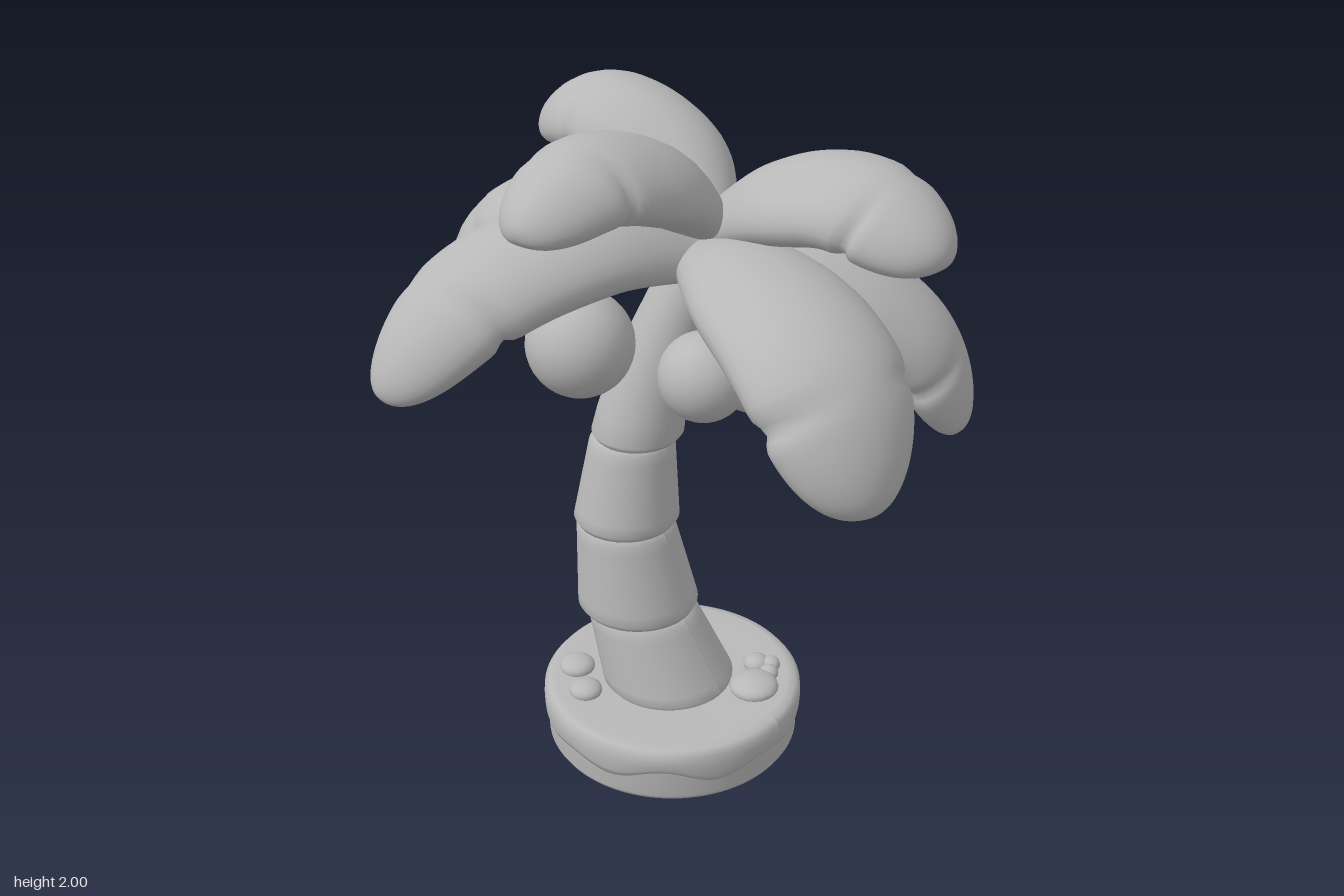
import * as THREE from 'three';

const V = (p) => new THREE.Vector3(...p);

// Puffy leaf: a cushion-shaped section swept along a drooping curve, pinched before the blunt tip
function leafGeometry(points, width, thick, roll = 0) {
  const curve = new THREE.CatmullRomCurve3(points.map(V));
  const rows = 48, cols = 32, pos = [], idx = [];
  const up = new THREE.Vector3(0, 1, 0);
  for (let i = 0; i <= rows; i++) {
    const t = 1 - Math.pow(1 - i / rows, 1.9);
    const c = curve.getPointAt(t), T = curve.getTangentAt(t);
    const S = new THREE.Vector3().crossVectors(T, up).normalize().applyAxisAngle(T, -roll);
    const N = new THREE.Vector3().crossVectors(S, T);
    const f = t < 0.5
      ? 0.44 + 0.56 * Math.sin((t / 0.5) * Math.PI / 2)
      : Math.pow(Math.max(0, 1 - ((t - 0.5) / 0.5) ** 2.5), 1 / 2.1);
    for (let j = 0; j < cols; j++) {
      const a = (j / cols) * Math.PI * 2, ca = Math.cos(a), sa = Math.sin(a);
      const pinch = Math.exp(-(((t - 0.73 - 0.04 * ca) / 0.025) ** 2));
      const w = width * f * (1 - 0.1 * pinch) * ca;
      const h = thick * f * (sa > 0 ? sa : sa * (1 - 0.2 * pinch));
      const p = c.clone().addScaledVector(S, w).addScaledVector(N, h - 0.035 * f * ca * ca);
      pos.push(p.x, p.y, p.z);
      if (i < rows) {
        const k = i * cols + j, n = i * cols + ((j + 1) % cols);
        idx.push(k, k + cols, n, n, k + cols, n + cols);
      }
    }
  }
  const g = new THREE.BufferGeometry();
  g.setAttribute('position', new THREE.Float32BufferAttribute(pos, 3));
  g.setIndex(idx);
  g.computeVertexNormals();
  return g;
}

// Trunk segment: rounded tapered lathe whose rings slide from one centre to the next
function trunkGeometry(y0, y1, c0, c1, r0, r1, bend) {
  const e = 0.025, h = y1 - y0;
  const profile = [[r0 - 0.04, 0], [r0 - 0.012, 0.006], [r0, e]];
  for (let i = 1; i < 8; i++) profile.push([r0 + (r1 - r0) * i / 8, e + (h - 2 * e) * i / 8]);
  profile.push([r1, h - e], [r1 - 0.012, h - 0.006], [r1 - 0.04, h], [0, h]);
  const g = new THREE.LatheGeometry(profile.map((p) => new THREE.Vector2(...p)), 40);
  const p = g.attributes.position;
  for (let i = 0; i < p.count; i++) {
    const k = Math.pow(Math.max(0, p.getY(i) / h), bend);
    p.setXYZ(i, p.getX(i) + c0[0] + (c1[0] - c0[0]) * k, p.getY(i) + y0,
      p.getZ(i) + c0[1] + (c1[1] - c0[1]) * k);
  }
  g.computeVertexNormals();
  return g;
}

export function createModel() {
  const group = new THREE.Group();
  const grey = new THREE.MeshStandardMaterial({ color: 0xb8b8b8 });
  grey.name = 'grey';
  const add = (name, geometry, at = [0, 0, 0]) => {
    const m = new THREE.Mesh(geometry, grey);
    m.name = name;
    m.position.set(...at);
    group.add(m);
    return m;
  };
  const lathe = (pts) => new THREE.LatheGeometry(pts.map((p) => new THREE.Vector2(...p)), 96);

  // Round base
  const centre = [-0.048, 0, -0.015];
  add('base', lathe([[0, 0.005], [0.35, 0.005], [0.373, 0.012], [0.384, 0.03], [0.386, 0.15]]), centre);

  // Sand layer with a wavy lower edge
  const sand = lathe([[0.375, 0.093], [0.388, 0.097], [0.395, 0.115], [0.396, 0.145],
    [0.394, 0.175], [0.38, 0.192], [0.355, 0.197], [0.3, 0.193], [0, 0.193]]);
  const sp = sand.attributes.position;
  for (let i = 0; i < sp.count; i++) {
    const a = Math.atan2(sp.getZ(i), sp.getX(i)), y = sp.getY(i);
    const k = Math.max(0, (0.175 - y) / 0.08);
    sp.setY(i, y + k * (0.013 * Math.sin(8 * a) + 0.01 * Math.sin(5 * a + 1)));
  }
  sand.computeVertexNormals();
  add('sand', sand, centre);

  // Leaning trunk: bottom y, top y, bottom centre, top centre, radii, bend
  [
    [0.18, 0.445, [-0.05, -0.02], [-0.078, -0.115], 0.2, 0.165, 1],
    [0.43, 0.735, [-0.075, -0.12], [-0.093, -0.155], 0.182, 0.147, 1],
    [0.72, 1.015, [-0.09, -0.152], [-0.073, -0.135], 0.156, 0.125, 1],
    [1.0, 1.6, [-0.066, -0.125], [0.07, 0.03], 0.134, 0.09, 1.4],
  ].forEach((s, i) => add('trunkSegment' + (i + 1), trunkGeometry(...s)));

  // Crown bud where the leaves meet
  add('crown', new THREE.SphereGeometry(0.085, 24, 16), [0.07, 1.57, 0.03]);

  // Leaves: centre line, half width, half thickness, roll
  const low = [0.08, 1.55, 0.03], high = [0.08, 1.635, 0.03];
  const leaves = {
    leafBack: [[low, [0.04, 1.61, -0.3], [0.01, 1.53, -0.6], [0.02, 1.28, -0.83]], 0.2, 0.12],
    leafBackLeft: [[low, [0.34, 1.49, -0.15], [0.62, 1.31, -0.32], [0.765, 1.03, -0.41]], 0.215, 0.12],
    leafFrontLeft: [[low, [0.27, 1.5, 0.22], [0.46, 1.3, 0.45], [0.55, 0.99, 0.59]], 0.215, 0.12],
    leafFrontRight: [[low, [-0.08, 1.575, 0.32], [-0.26, 1.48, 0.63], [-0.37, 1.2, 0.81]], 0.255, 0.125, 0.25],
    leafBackRight: [[low, [-0.25, 1.645, -0.14], [-0.55, 1.57, -0.28], [-0.8, 1.34, -0.38]], 0.21, 0.12],
    leafTopRight: [[high, [-0.19, 1.83, 0.02], [-0.43, 1.895, 0], [-0.67, 1.82, 0]], 0.18, 0.11],
    leafTopFront: [[high, [0.09, 1.76, 0.27], [0.09, 1.8, 0.5], [0.04, 1.7, 0.75]], 0.205, 0.11],
    leafTopBack: [[high, [0.17, 1.79, -0.18], [0.18, 1.855, -0.4], [0.19, 1.78, -0.63]], 0.19, 0.11],
  };
  for (const name in leaves) add(name, leafGeometry(...leaves[name]));

  // Coconuts
  [[0.13, 1.21, 0.14, 0.123], [-0.08, 1.265, 0.12, 0.127], [0.19, 1.27, -0.08, 0.125],
    [-0.31, 1.385, -0.12, 0.148]].forEach(([x, y, z, r], i) =>
    add('coconut' + (i + 1), new THREE.SphereGeometry(r, 32, 20), [x, y, z]));

  // Flattened pebbles
  [[0.04, 0.23, 0.075], [0.14, 0.17, 0.04], [0.16, 0.21, 0.03], [0.12, 0.23, 0.03],
    [-0.28, -0.17, 0.05], [-0.2, -0.27, 0.055], [0.01, -0.27, 0.04]].forEach(([x, z, r], i) => {
    add('pebble' + (i + 1), new THREE.SphereGeometry(r, 20, 12), [x, 0.2, z]).scale.y = 0.2 + 0.02 / r;
  });

  return group;
}
